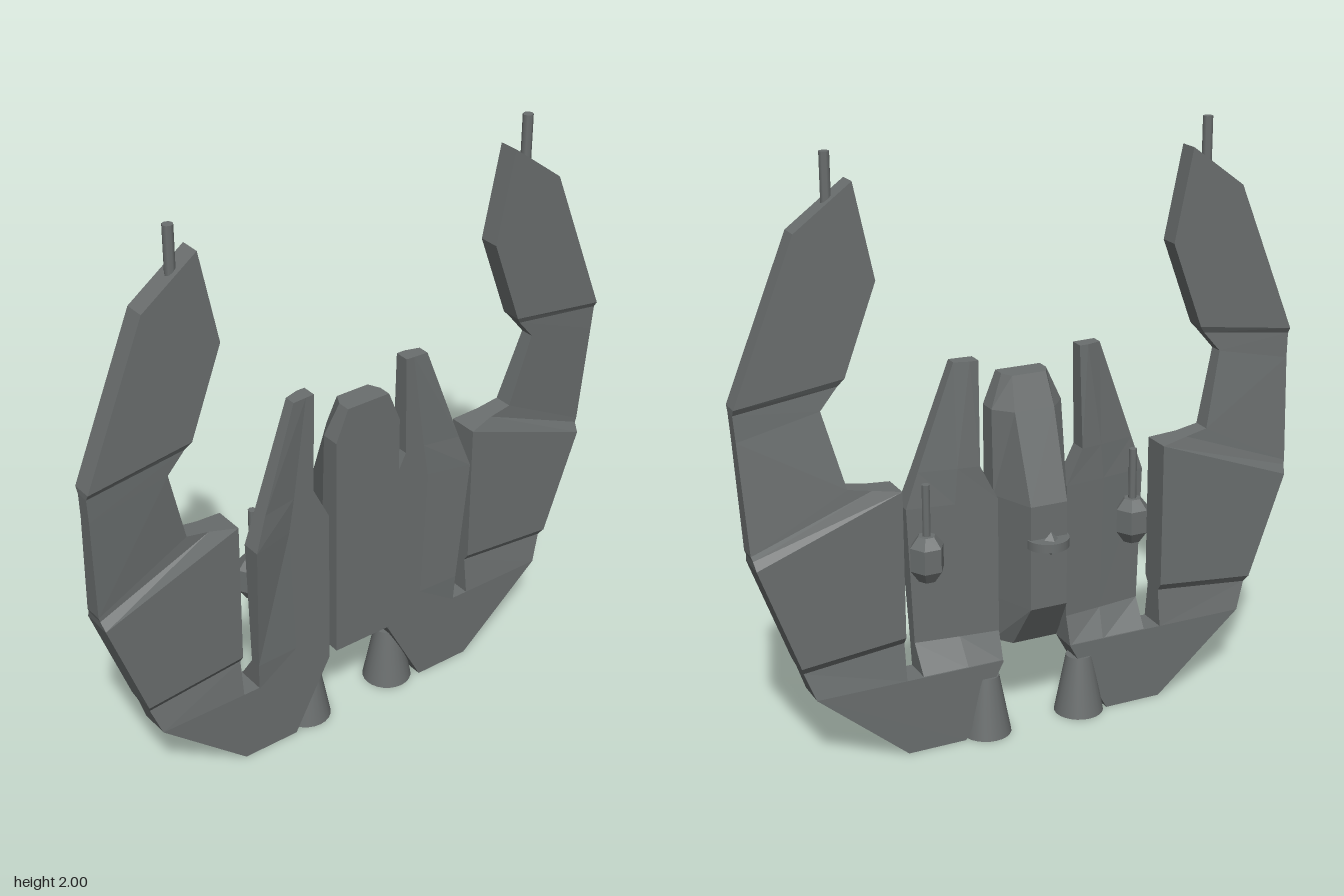
import * as THREE from 'three';

const hullGrey = new THREE.MeshStandardMaterial({ color: 0x6a6e6e });
hullGrey.name = 'hullGrey';
hullGrey.flatShading = false;

// Joins cross-section loops into a closed, faceted solid; side -1 mirrors it
function loft(loops, side = 1) {
  const tris = [];
  const n = loops[0].length;
  for (let i = 0; i < loops.length - 1; i++) {
    const a = loops[i], b = loops[i + 1];
    for (let j = 0; j < n; j++) {
      const k = (j + 1) % n;
      tris.push([a[j], a[k], b[k]], [a[j], b[k], b[j]]);
    }
  }
  const first = loops[0], last = loops[loops.length - 1];
  for (let j = 1; j < n - 1; j++) {
    tris.push([first[0], first[j + 1], first[j]], [last[0], last[j], last[j + 1]]);
  }
  // signed volume tells whether the faces point outwards
  let volume = 0;
  const faces = tris.map(t => t.map(p => new THREE.Vector3(p[0] * side, p[1], p[2])));
  for (const [a, b, c] of faces) volume += a.dot(b.clone().cross(c));
  if (volume < 0) faces.forEach(f => f.reverse());
  const geometry = new THREE.BufferGeometry().setFromPoints(faces.flat());
  geometry.computeVertexNormals();
  return geometry;
}

function add(parent, name, geometry, x = 0, y = 0, z = 0) {
  const mesh = new THREE.Mesh(geometry, hullGrey);
  mesh.name = name;
  mesh.position.set(x, y, z);
  parent.add(mesh);
  return mesh;
}

// Arm cuts: inner x, inner y, outer x, outer y, back z, front z
const armCuts = [
  [0.585, 1.91, 0.775, 1.77, 0.05, 0.12],
  [0.52, 1.60, 0.873, 1.53, 0.05, 0.12],
  [0.63, 1.305, 0.985, 1.255, 0.05, 0.12],
  [0.65, 1.28, 0.985, 1.235, 0.062, 0.108],
  [0.71, 1.21, 0.98, 1.15, 0.057, 0.105],
  [0.645, 0.955, 0.965, 0.79, 0.02, 0.085],
  [0.565, 0.94, 0.96, 0.775, 0.015, 0.085],
  [0.47, 0.925, 0.955, 0.745, 0, 0.105],
  [0.47, 0.42, 0.825, 0.385, 0, 0.105],
  [0.47, 0.395, 0.815, 0.36, 0.018, 0.088],
  [0.47, 0.265, 0.78, 0.265, 0, 0.105],
];

// Pod cuts: y, then [x, z] round the section from the inner front
const podCuts = [
  [1.30, [0.18, 0.105], [0.21, 0.105], [0.26, 0.11], [0.26, 0.07], [0.21, 0.055], [0.18, 0.055]],
  [0.95, [0.185, 0.105], [0.26, 0.105], [0.387, 0.13], [0.387, 0.075], [0.26, 0.05], [0.185, 0.04]],
  [0.83, [0.125, 0.105], [0.28, 0.105], [0.43, 0.143], [0.43, 0.075], [0.27, 0.05], [0.125, 0.035]],
  [0.36, [0.125, 0.105], [0.26, 0.105], [0.413, 0.11], [0.413, 0.07], [0.26, 0.05], [0.125, 0.035]],
  [0.26, [0.125, 0.105], [0.25, 0.105], [0.41, 0.105], [0.41, 0.002], [0.25, 0.002], [0.125, 0.002]],
];

// Hull cuts: y, half width, shoulder z, ridge half width, ridge z
const hullCuts = [
  [0.31, 0.125, 0.08, 0.08, 0.02],
  [0.47, 0.125, 0.07, 0.065, -0.085],
  [0.83, 0.125, 0.07, 0.065, -0.085],
  [1.12, 0.125, 0.08, 0.07, 0.02],
  [1.23, 0.08, 0.10, 0.06, 0.06],
];

function buildSide(side) {
  const group = new THREE.Group();
  group.name = side > 0 ? 'leftWing' : 'rightWing';

  add(group, 'arm', loft(armCuts.map(([ix, iy, ox, oy, zb, zf]) =>
    [[ix, iy, zf], [ox, oy, zf], [ox, oy, zb], [ix, iy, zb]]), side));

  const foot = [[0.78, 0.265], [0.47, 0], [0.265, 0], [0.125, 0.26], [0.125, 0.265]];
  add(group, 'foot', loft([0, 0.105].map(z => foot.map(([x, y]) => [x, y, z])), side));

  add(group, 'pod', loft(podCuts.map(([y, ...ring]) => ring.map(([x, z]) => [x, y, z])), side));

  add(group, 'engine', new THREE.CylinderGeometry(0.045, 0.085, 0.21, 24), side * 0.175, 0.105, 0.035);
  add(group, 'antenna', new THREE.CylinderGeometry(0.017, 0.017, 0.2, 8), side * 0.655, 1.9, 0.087);

  // six-sided gun housing with an upright barrel
  const profile = [[0, 0.59], [0.03, 0.59], [0.058, 0.63], [0.058, 0.71], [0.03, 0.745], [0, 0.745]];
  const housing = new THREE.LatheGeometry(profile.map(p => new THREE.Vector2(...p)), 6, Math.PI / 6).toNonIndexed();
  housing.computeVertexNormals();
  add(group, 'gunHousing', housing, side * 0.375, 0, 0.04);
  add(group, 'gunBarrel', new THREE.CylinderGeometry(0.014, 0.014, 0.18, 8), side * 0.375, 0.83, 0.04);
  return group;
}

export function createModel() {
  const model = new THREE.Group();
  model.name = 'spacecraft';

  add(model, 'hull', loft(hullCuts.map(([y, w, zs, b, zb]) =>
    [[-w, y, 0.145], [w, y, 0.145], [w, y, zs], [b, y, zb], [-b, y, zb], [-w, y, zs]])));

  // half-round sensor plate with a pointed core on the back
  const plate = new THREE.CylinderGeometry(0.072, 0.072, 0.03, 20, 1, false, Math.PI / 2, Math.PI);
  add(model, 'sensorPlate', plate, 0, 0.7, -0.073);
  add(model, 'sensorCore', new THREE.OctahedronGeometry(0.04), 0, 0.7, -0.1);

  for (const side of [1, -1]) model.add(buildSide(side));
  return model;
}
